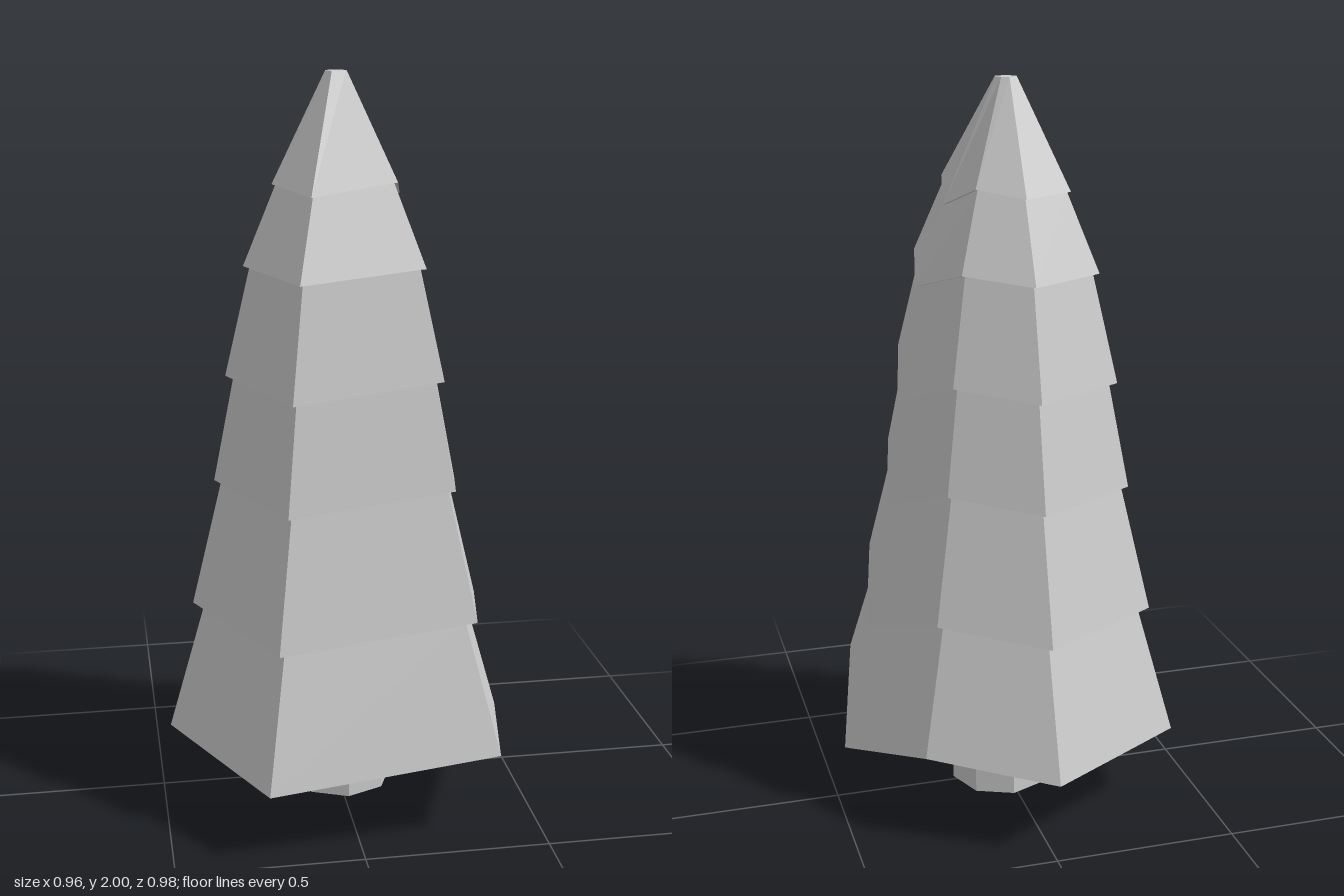
import * as THREE from 'three';

// Irregular seven-sided skirt outline: x, z and how far each corner droops or lifts
const OUTLINE = [
  [-0.01, -0.49, 0.01], [0.31, -0.31, 0.045], [0.48, -0.03, -0.04], [0.37, 0.46, 0.045],
  [-0.25, 0.49, -0.01], [-0.48, 0.085, 0.02], [-0.405, -0.27, 0.015],
];

// Each tier: rim scale, rim height, rim tilt, scale where it meets the tier above
const TIERS = [
  [1.0, 0.205, 1.0, 0.78],
  [0.85, 0.563, 0.94, 0.67],
  [0.712, 0.91, 0.88, 0.59],
  [0.637, 1.198, 0.82, 0.49],
  [0.527, 1.493, 0.6, 0.34],
  [0.362, 1.703, 0.6, 0.06],
];
const TOP = 2;

function ring(scale, y, tilt) {
  return OUTLINE.map(([x, z, lift]) => new THREE.Vector3(x * scale, y + lift * tilt, z * scale));
}

// Skins a list of rings, bottom to top, with separate flat faces
function loft(rings) {
  const points = [];
  const addTriangle = (a, b, c) => {
    if (!a.equals(b) && !b.equals(c) && !c.equals(a)) points.push(a, b, c);
  };
  for (let r = 0; r < rings.length - 1; r++) {
    const low = rings[r], high = rings[r + 1];
    for (let i = 0; i < low.length; i++) {
      const j = (i + 1) % low.length;
      addTriangle(low[j], low[i], high[i]);
      addTriangle(low[j], high[i], high[j]);
    }
  }
  const geometry = new THREE.BufferGeometry().setFromPoints(points);
  geometry.computeVertexNormals();
  return geometry;
}

export function createModel() {
  const tree = new THREE.Group();
  tree.name = 'pineTree';
  const material = new THREE.MeshStandardMaterial({ color: 0xcccccc, flatShading: true });

  // Foliage tiers, each with an underside, sloping skirt and hidden top
  const foliage = new THREE.Group();
  foliage.name = 'foliage';
  TIERS.forEach(([scale, y, tilt, topScale], i) => {
    const next = TIERS[i + 1];
    const topRing = next
      ? ring(topScale, next[1], next[2] * topScale / next[0])
      : ring(topScale, TOP, 0);
    const topY = next ? next[1] : TOP;
    const tier = new THREE.Mesh(
      loft([ring(0, y, 0), ring(scale, y, tilt), topRing, ring(0, topY, 0)]), material);
    tier.name = `foliageTier${i + 1}`;
    foliage.add(tier);
  });
  tree.add(foliage);

  // Octagonal trunk, slightly off centre
  const trunk = new THREE.Mesh(new THREE.CylinderGeometry(0.143, 0.143, 0.22, 8), material);
  trunk.name = 'trunk';
  trunk.position.set(0.012, 0.11, 0.017);
  tree.add(trunk);

  return tree;
}
